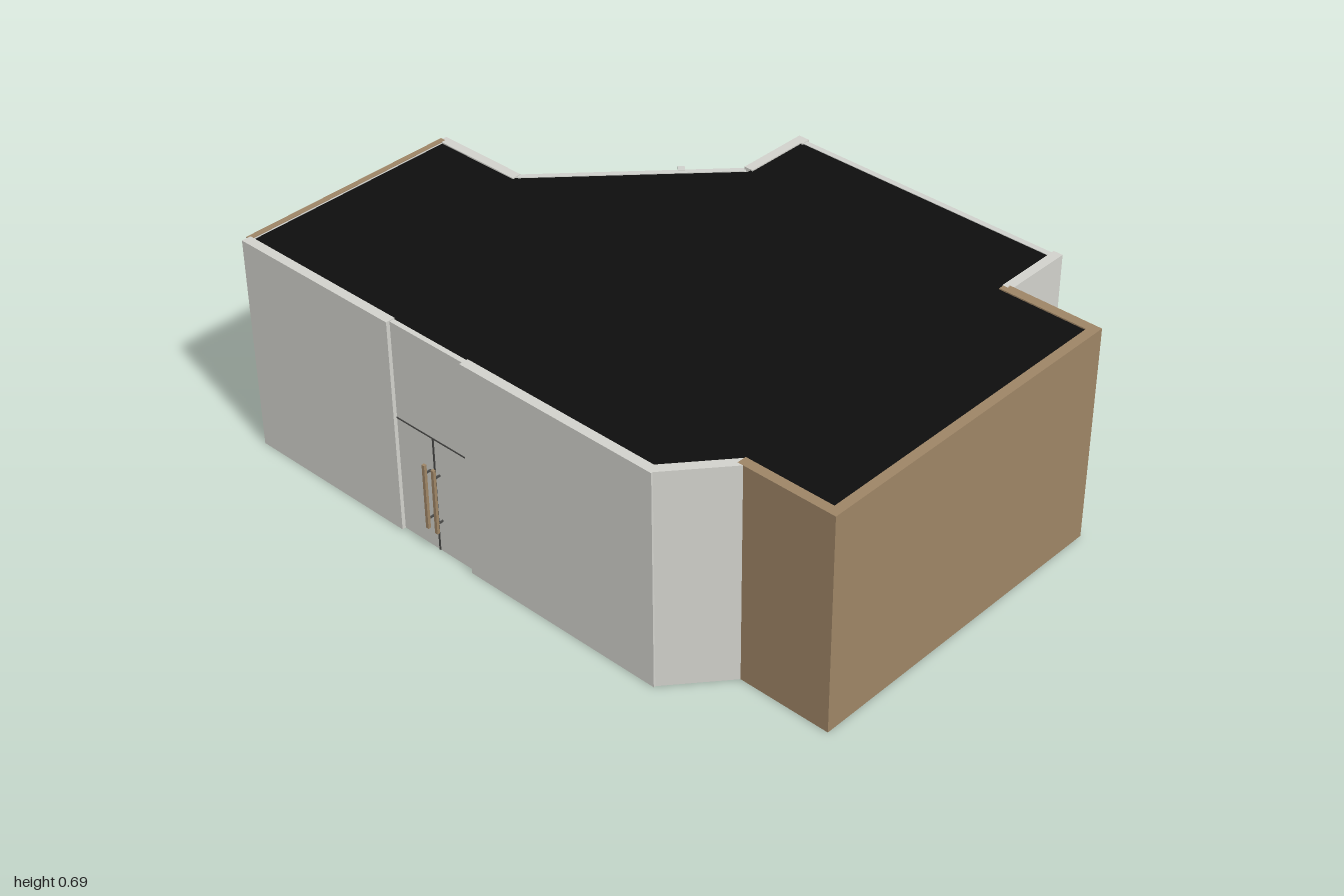
import * as THREE from 'three';

const mat = (name, color, extra = {}) => new THREE.MeshStandardMaterial({ name, color, ...extra });

export function createModel() {
  const white = mat('pale plaster', 0xd2d2cc);
  const tan = mat('tan cladding', 0x9e8566);
  const glassMat = mat('green glass', 0x2f5045);
  const frameMat = mat('window frame', 0xd0d1cc);
  const black = mat('black roofing', 0x0d0d0d);
  const floorMat = mat('grey floor', 0x85827e);
  const seamMat = mat('dark seam', 0x4a4a48);

  const H = 0.695;
  const root = new THREE.Group();
  root.name = 'building';

  // box given by its extents in the local space of its parent
  function box(parent, name, material, x0, x1, y0, y1, z0, z1) {
    const m = new THREE.Mesh(new THREE.BoxGeometry(x1 - x0, y1 - y0, z1 - z0), material);
    m.position.set((x0 + x1) / 2, (y0 + y1) / 2, (z0 + z1) / 2);
    m.name = name;
    parent.add(m);
    return m;
  }

  // facade group: local x runs along the wall, y up, z outward
  function facade(name, xa, za, xb, zb) {
    const g = new THREE.Group();
    g.name = name;
    g.position.set(xa, 0, za);
    g.rotation.y = Math.atan2(za - zb, xb - xa);
    g.userData.length = Math.hypot(xb - xa, zb - za);
    root.add(g);
    return g;
  }

  function solidWall(name, material, xa, za, xb, zb) {
    const g = facade(name, xa, za, xb, zb);
    box(g, name + 'Panel', material, 0, g.userData.length, 0, H, -0.03, 0);
    return g;
  }

  // glass with wide panes above the transom and half-width panes below
  function glazing(g, x0, x1, sill, panes) {
    const w = 0.005, transom = 0.4, top = 0.688;
    box(g, 'glass', glassMat, x0, x1, sill, top, -0.022, -0.012);
    const bar = (a, b, c, d) => box(g, 'mullion', frameMat, a, b, c, d, -0.025, -0.007);
    for (const y of [sill + w, transom, top]) bar(x0, x1, y - w, y + w);
    for (let i = 0; i <= panes * 2; i++) {
      const x = x0 + ((x1 - x0) * i) / (panes * 2);
      bar(x - w, x + w, sill, i % 2 ? transom : top);
    }
  }

  // pair of door leaves with dark seams and tan pull bars
  function doors(g, x0, x1, mid, z, gap) {
    const top = 0.38;
    box(g, 'doorHeadSeam', seamMat, x0, x1, top - 0.002, top + 0.002, z, z + 0.002);
    box(g, 'doorCentreSeam', seamMat, mid - 0.003, mid + 0.003, 0, top, z, z + 0.002);
    for (const s of [-1, 1]) {
      const x = mid + s * gap;
      box(g, 'doorHandle', tan, x - 0.005, x + 0.005, 0.08, 0.295, z + 0.018, z + 0.027);
      for (const y of [0.11, 0.265]) {
        box(g, 'handleBracket', seamMat, x - 0.002, x + 0.002, y - 0.003, y + 0.003, z, z + 0.018);
      }
    }
  }

  // slab over the inside of the footprint
  const plan = [[-0.76, -0.975], [-0.035, -0.975], [-0.035, -0.68], [0.44, -0.215], [0.668, -0.215], [0.668, 0.69],
    [0.455, 0.69], [0.455, 0.975], [-0.58, 0.975], [-0.58, 0.685], [-0.76, 0.545]];
  const shape = new THREE.Shape(plan.map(([x, z]) => new THREE.Vector2(x, -z)));
  function slab(name, material, y, depth) {
    const geo = new THREE.ExtrudeGeometry(shape, { depth, bevelEnabled: false });
    geo.rotateX(-Math.PI / 2);
    const m = new THREE.Mesh(geo, material);
    m.position.y = y;
    m.name = name;
    root.add(m);
  }
  slab('roof', black, 0.677, 0.014);
  slab('floor', floorMat, 0.002, 0.012);

  // tan front block
  solidWall('frontBlockLeftSide', tan, 0.472, 1.0, 0.472, 0.685);
  solidWall('frontBlockFace', tan, -0.605, 1.0, 0.472, 1.0);
  solidWall('frontBlockRightSide', tan, -0.605, 0.685, -0.605, 1.0);

  // entrance wall beside the block
  const entry = solidWall('entranceWall', white, 0.46, 0.712, 0.69, 0.712);
  doors(entry, 0.02, 0.22, 0.1, 0, 0.018);

  // long window wall on the left side
  const side = facade('sideWindowWall', 0.69, 0.71, 0.69, -0.235);
  box(side, 'sidePlinth', white, -0.01, 0.93, 0, 0.2, -0.03, 0.012);
  box(side, 'cornerColumn', white, 0.91, 0.945, 0, H, -0.03, 0);
  glazing(side, 0.008, 0.91, 0.2, 4);

  // row of small tan plates standing off the plinth
  for (let i = 0; i < 6; i++) {
    const z = 0.385 - i * 0.092;
    box(root, 'signPlate', tan, 0.776, 0.784, 0.137, 0.157, z - 0.033, z + 0.033);
  }

  // stacked green discs beside the entrance
  for (let i = 0; i < 3; i++) {
    const disc = new THREE.Mesh(new THREE.CylinderGeometry(0.028, 0.028, 0.005, 20), glassMat);
    disc.position.set(0.73, 0.17 + i * 0.011, 0.52 + (i - 1) * 0.004);
    disc.rotation.z = -0.08;
    disc.name = 'greenDisc';
    root.add(disc);
  }

  // short return wall, diagonal window wall and rear return
  solidWall('returnWall', white, 0.69, -0.237, 0.45, -0.237);
  const diag = facade('diagonalWindowWall', 0.455, -0.237, -0.018, -0.695);
  const dl = diag.userData.length;
  box(diag, 'diagonalPlinth', white, 0, dl, 0, 0.2, -0.03, 0.005);
  glazing(diag, 0.005, dl - 0.005, 0.2, 3);
  box(diag, 'hangingTab', frameMat, 0.175, 0.195, 0.615, H, -0.012, 0.01);
  solidWall('rearReturnWall', white, -0.015, -0.68, -0.015, -0.99);

  // rear window wall on a tan plinth
  const rear = facade('rearWindowWall', -0.025, -1.0, -0.765, -1.0);
  box(rear, 'rearPlinth', tan, 0, 0.74, 0, 0.14, -0.03, 0);
  glazing(rear, 0.015, 0.725, 0.14, 3);
  box(rear, 'rearCap', tan, 0.005, 0.735, 0.688, H, -0.022, -0.004);

  // right side: two wall lengths with a recessed doorway between
  solidWall('rearSideWall', white, -0.78, -0.99, -0.78, -0.4);
  solidWall('frontSideWall', white, -0.78, -0.12, -0.78, 0.56);
  const recess = facade('sideDoorway', -0.768, -0.4, -0.768, -0.12);
  box(recess, 'doorPanel', white, 0, 0.28, 0, H - 0.003, -0.016, 0);
  doors(recess, 0, 0.28, 0.142, 0, 0.018);

  // angled wall meeting the front block
  solidWall('chamferWall', white, -0.78, 0.555, -0.595, 0.712);

  return root;
}
